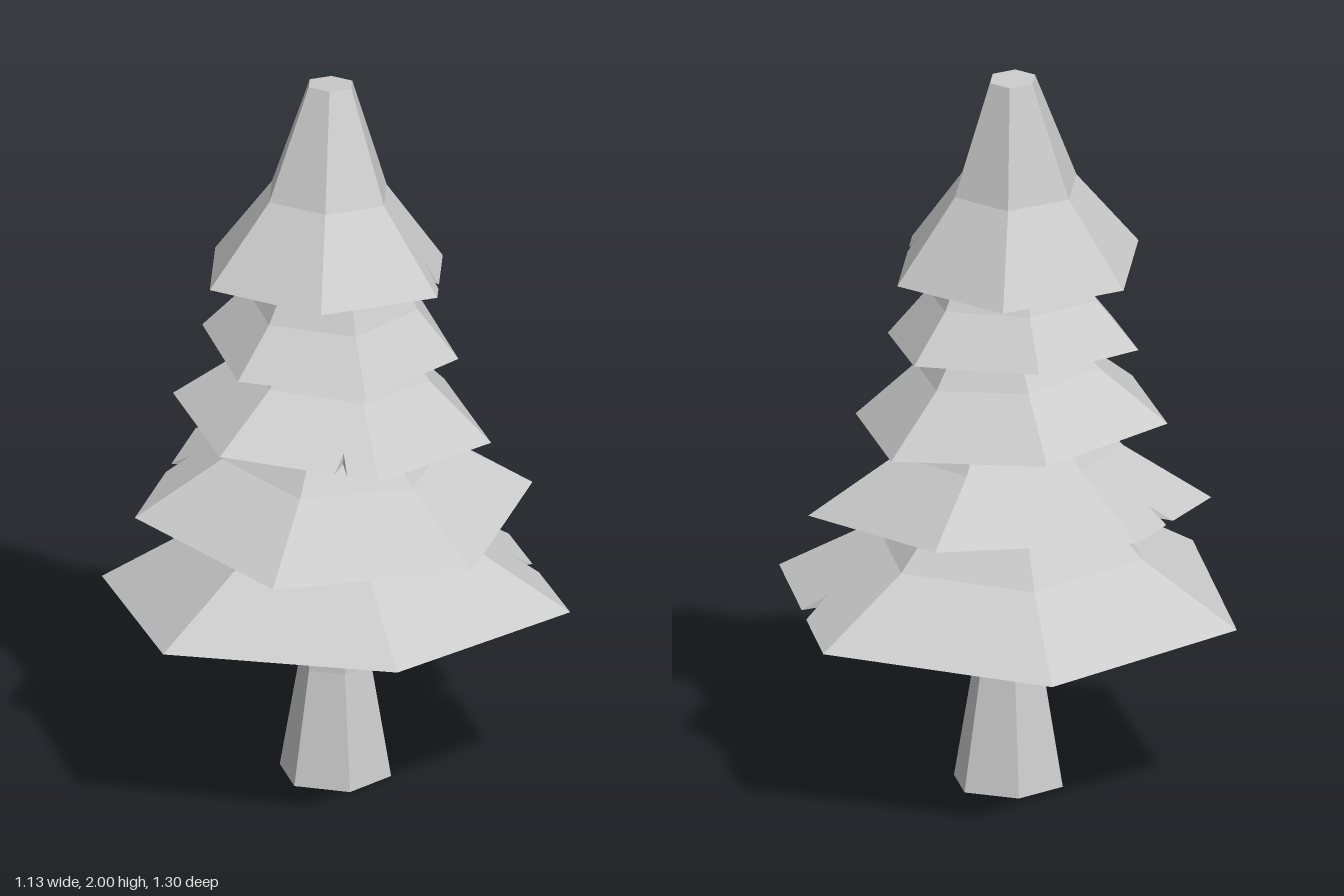
import * as THREE from 'three';

const SIDES = 6;
const material = new THREE.MeshStandardMaterial({ color: 0xcccccc, flatShading: true });

const ring = ([r, y], rot) => Array.from({ length: SIDES }, (_, i) => {
  const a = THREE.MathUtils.degToRad(rot + (i * 360) / SIDES);
  return new THREE.Vector3(r * Math.cos(a), y, r * Math.sin(a));
});

// Quad A-B (edge) to D-C; an optional notch [start, apex, end, depth] is cut into edge A-B
function band(tris, A, B, C, D, notch) {
  if (!notch) {
    tris.push(A, B, C, A, C, D);
    return null;
  }
  const [t0, t1, t2, v] = notch;
  const N1 = A.clone().lerp(B, t0);
  const N3 = A.clone().lerp(B, t2);
  const N2 = A.clone().lerp(B, t1).lerp(D.clone().lerp(C, t1), v);
  tris.push(A, N1, N2, A, N2, D, D, N2, C, N2, B, C, N2, N3, B);
  return { N1, N2, N3 };
}

function toMesh(tris, name) {
  const geometry = new THREE.BufferGeometry().setFromPoints(tris);
  geometry.computeVertexNormals();
  const mesh = new THREE.Mesh(geometry, material);
  mesh.name = name;
  return mesh;
}

// Stacked hexagonal rings; rings run from bottom to top, hollow gives a recessed underside
function stack(name, { rings, rot, notch, hollow }) {
  const tris = [];
  const loops = rings.map((p) => ring(p, rot));
  const base = loops[0];
  const top = loops[loops.length - 1];
  const under = hollow ? ring(hollow, rot) : base;
  const topMid = new THREE.Vector3(0, rings[rings.length - 1][1], 0);
  const underMid = new THREE.Vector3(0, hollow ? hollow[1] : rings[0][1], 0);

  for (let i = 0; i < SIDES; i++) {
    const j = (i + 1) % SIDES;
    const cut = notch && notch.face === i ? notch.at : null;
    // outer slopes
    let upper = null;
    for (let k = 0; k < loops.length - 1; k++) {
      const cutHere = k === 0 && cut ? [...cut, 0.3] : null;
      const n = band(tris, loops[k][j], loops[k][i], loops[k + 1][i], loops[k + 1][j], cutHere);
      upper = upper || n;
    }
    // underside rim and notch walls
    if (hollow) {
      const mirrored = cut ? [1 - cut[2], 1 - cut[1], 1 - cut[0], 0.6] : null;
      const lower = band(tris, base[i], base[j], under[j], under[i], mirrored);
      if (lower) {
        tris.push(upper.N1, lower.N2, upper.N2, upper.N3, upper.N2, lower.N2);
      }
    }
    // caps
    tris.push(topMid, top[j], top[i], underMid, under[i], under[j]);
  }
  return toMesh(tris, name);
}

export function createModel() {
  const tree = new THREE.Group();
  tree.name = 'pineTree';

  // Flared trunk
  const trunk = stack('trunk', { rings: [[0.155, 0], [0.1, 0.32], [0.085, 0.62]], rot: 30 });
  trunk.position.z = -0.006;
  tree.add(trunk);

  // Branch tiers, bottom to top: rim centre, tilt as rise per unit of x and z, profile
  const tiers = [
    { at: [0, 0.517, 0], tilt: [0, 0.065], rot: 30,
      rings: [[0.652, 0], [0.38, 0.165], [0.24, 0.31]],
      notch: { face: 5, at: [0.51, 0.54, 0.615] } },
    { at: [0, 0.782, -0.025], tilt: [0.004, -0.078], rot: 2,
      rings: [[0.547, 0], [0.31, 0.155], [0.21, 0.26]],
      notch: { face: 3, at: [0.4, 0.42, 0.49] } },
    { at: [-0.007, 1.027, -0.015], tilt: [-0.07, -0.01], rot: 28,
      rings: [[0.44, 0], [0.26, 0.15], [0.18, 0.25]],
      notch: { face: 1, at: [0.72, 0.78, 0.8] } },
    { at: [-0.01, 1.247, -0.022], tilt: [-0.01, -0.055], rot: 29,
      rings: [[0.355, 0], [0.24, 0.13], [0.16, 0.27]] },
    { at: [-0.027, 1.46, 0], tilt: [-0.04, 0.068], rot: -13,
      rings: [[0.353, 0], [0.178, 0.225], [0.066, 0.536]],
      notch: { face: 0, at: [0.21, 0.29, 0.31] } },
  ];

  tiers.forEach(({ at, tilt, rings, rot, notch }, i) => {
    const hollow = [rings[0][0] * 0.8, 0.025];
    const tier = stack(`branchTier${i + 1}`, { rings, rot, notch, hollow });
    tier.position.set(...at);
    tier.rotation.set(-tilt[1], 0, tilt[0]);
    tree.add(tier);
  });

  return tree;
}
